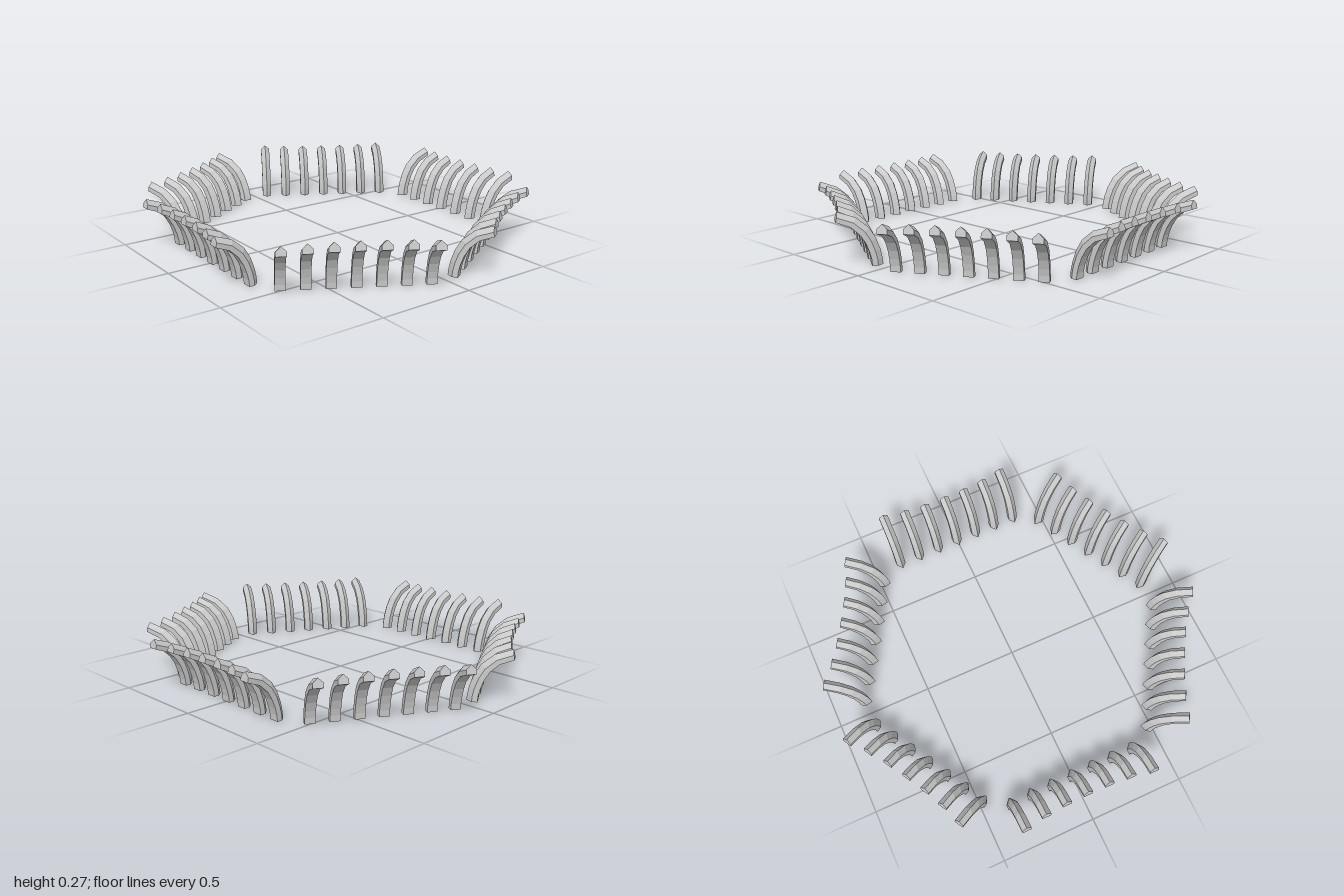
import * as THREE from 'three';

const SIDES = 6, RIBS = 7, SPACING = 0.1165, HALF_WIDTH = 0.025;

// Rib profile as [z, y]: sharp inner ridge and flat outer back, from foot to tip
const RIDGE = [[0.721, 0], [0.724, 0.03], [0.733, 0.075], [0.752, 0.13], [0.784, 0.185], [0.845, 0.238], [0.932, 0.271]];
const BACK = [[0.777, 0], [0.779, 0.03], [0.787, 0.065], [0.803, 0.11], [0.829, 0.155], [0.873, 0.197], [0.941, 0.225]];

// Five-sided section swept along the profile; pullIn shortens the outward flare
function ribGeometry(pullIn) {
  const positions = [], index = [], last = RIDGE.length - 1;
  RIDGE.forEach(([rz, ry], i) => {
    const [bz, by] = BACK[i];
    const shift = pullIn * (i / last) ** 3;
    const mz = (rz + bz) / 2, my = (ry + by) / 2;
    const section = [
      [0, ry, rz], [HALF_WIDTH, my, mz], [HALF_WIDTH, by, bz],
      [-HALF_WIDTH, by, bz], [-HALF_WIDTH, my, mz],
    ];
    for (const [x, y, z] of section) positions.push(x, y, z - shift);
  });
  for (let i = 0; i < last; i++) {
    for (let j = 0; j < 5; j++) {
      const a = i * 5 + j, b = i * 5 + (j + 1) % 5;
      index.push(a, a + 5, b, b, a + 5, b + 5);
    }
  }
  // Foot and tip caps
  const t = last * 5;
  for (let j = 1; j < 4; j++) index.push(0, j, j + 1, t, t + j + 1, t + j);
  const geometry = new THREE.BufferGeometry();
  geometry.setAttribute('position', new THREE.Float32BufferAttribute(positions, 3));
  geometry.setIndex(index);
  const flat = geometry.toNonIndexed();
  flat.computeVertexNormals();
  return flat;
}

export function createModel() {
  const model = new THREE.Group();
  model.name = 'ribRing';
  const material = new THREE.MeshStandardMaterial({ color: 0xcccccc, flatShading: true });

  // Ribs near the corners flare out farther than those mid-side
  const half = (RIBS - 1) / 2;
  const geometries = [];
  for (let k = 0; k <= half; k++) {
    geometries.push(ribGeometry(0.033 * (1 - (k / half) ** 2.5)));
  }

  // Six straight rows of parallel ribs around a hexagon
  for (let s = 0; s < SIDES; s++) {
    const row = new THREE.Group();
    row.name = `ribRow${s + 1}`;
    row.rotation.y = s * Math.PI * 2 / SIDES;
    for (let k = -half; k <= half; k++) {
      const rib = new THREE.Mesh(geometries[Math.abs(k)], material);
      rib.name = `rib${k + half + 1}`;
      rib.position.x = k * SPACING;
      row.add(rib);
    }
    model.add(row);
  }
  return model;
}
